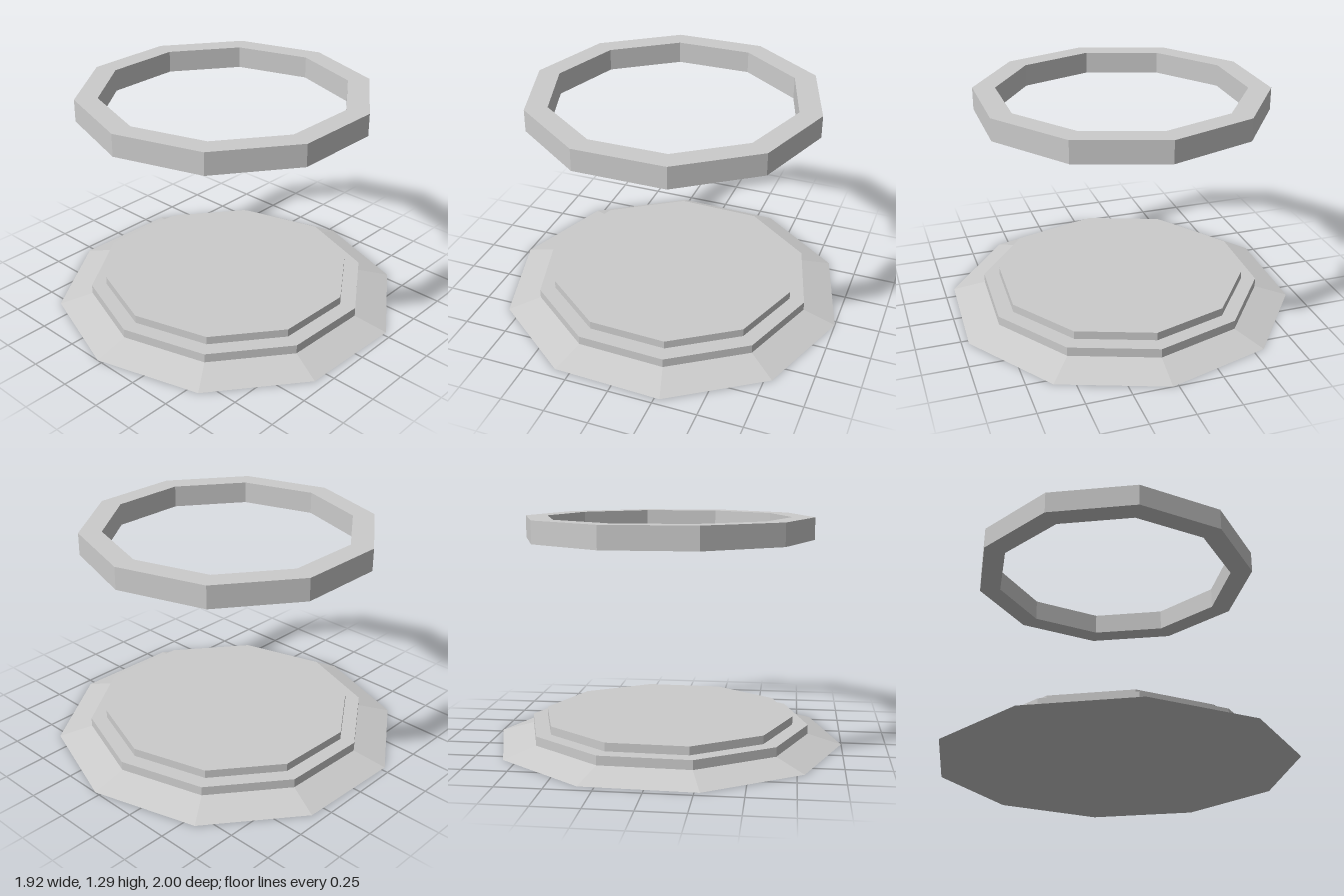
import * as THREE from 'three';

const SIDES = 10;
const TWIST = THREE.MathUtils.degToRad(-1.8);

export function createModel() {
  const model = new THREE.Group();
  model.name = 'tieredPlatformWithRing';
  const material = new THREE.MeshStandardMaterial({ color: 0xcccccc, flatShading: true });

  // Ten-sided tier standing between two heights
  function addTier(name, topRadius, bottomRadius, y0, y1) {
    const geometry = new THREE.CylinderGeometry(topRadius, bottomRadius, y1 - y0, SIDES);
    const tier = new THREE.Mesh(geometry, material);
    tier.name = name;
    tier.position.y = (y0 + y1) / 2;
    tier.rotation.y = TWIST;
    model.add(tier);
    return tier;
  }

  // Sloped skirt and two stacked steps
  addTier('slopedBase', 0.81, 1.0, 0, 0.055);
  addTier('lowerStep', 0.81, 0.81, 0.055, 0.107);
  addTier('upperStep', 0.722, 0.722, 0.107, 0.154).position.x = -0.004;

  // Floating ring with a rectangular section
  const outer = 0.821, inner = 0.695, bottom = 1.163, top = 1.288;
  const section = [
    [outer, bottom], [outer, top], [inner, top], [inner, bottom], [outer, bottom],
  ].map(([r, y]) => new THREE.Vector2(r, y));
  const ring = new THREE.Mesh(new THREE.LatheGeometry(section, SIDES), material);
  ring.name = 'floatingRing';
  ring.position.set(-0.015, 0, 0.003);
  model.add(ring);

  return model;
}
